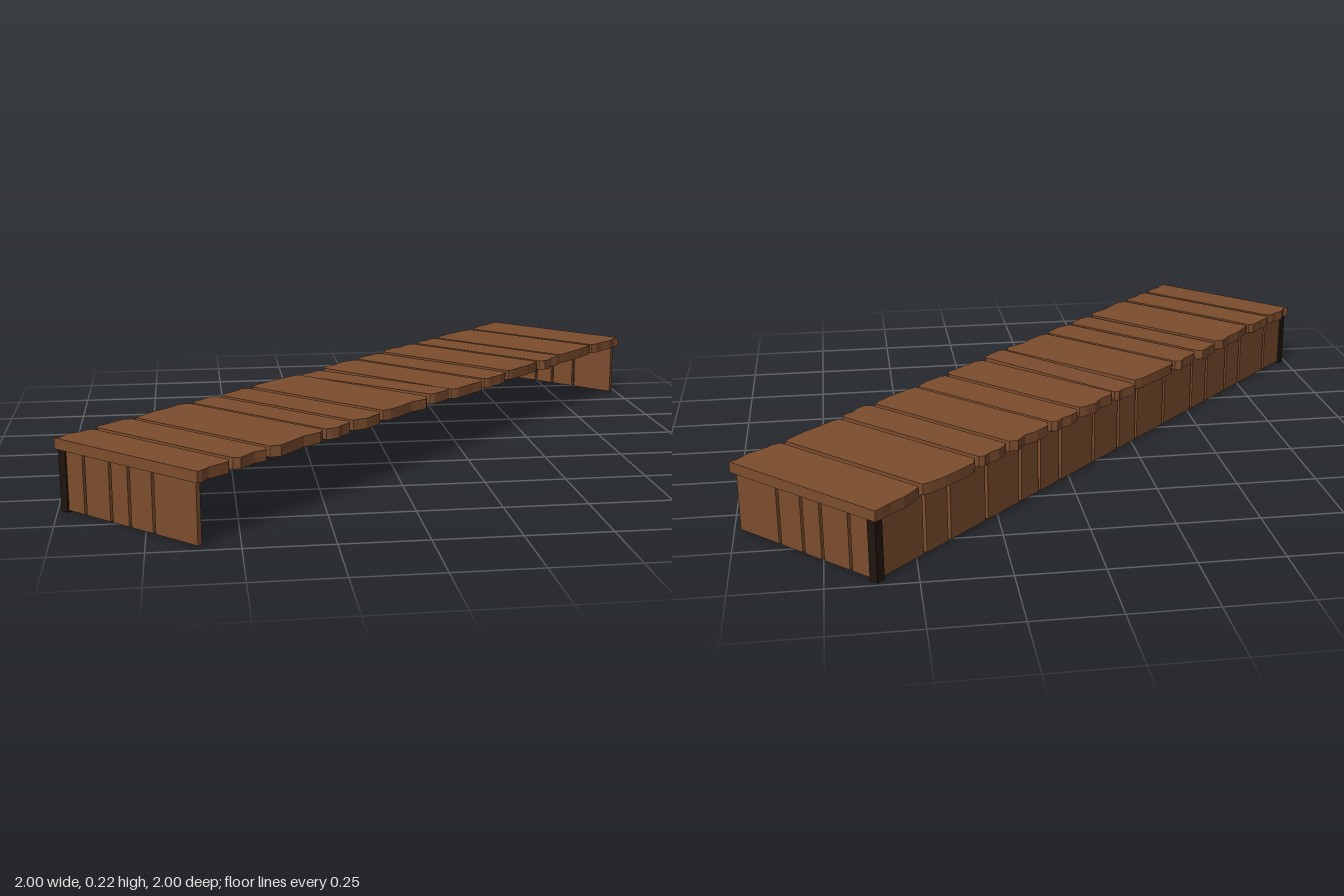
import * as THREE from 'three';

const wood = new THREE.MeshStandardMaterial({ color: 0x7c4d2e, flatShading: true });
const dark = new THREE.MeshStandardMaterial({ color: 0x20150f, flatShading: true });

// small seeded jitter in -1..1
let seed = 7;
const jitter = () => ((seed = (seed * 16807) % 2147483647) / 2147483647) * 2 - 1;

// Plank breaks along the length (x) of the top and back, and the depth (z) of the ends
const topBreaks = [-1.138, -0.998, -0.851, -0.609, -0.484, -0.34, -0.095, 0.023, 0.216, 0.363, 0.567, 0.707, 0.945, 1.138];
const backBreaks = [-1.125, -0.985, -0.80, -0.70, -0.565, -0.464, -0.283, -0.115, -0.01, 0.13, 0.307, 0.413, 0.507, 0.665, 0.83, 0.933, 1.125];
const endBreaks = [-0.262, -0.17, -0.065, 0.008, 0.10, 0.265];

function box(name, parent, mat, w, h, d, x, y, z) {
  const mesh = new THREE.Mesh(new THREE.BoxGeometry(w, h, d), mat);
  mesh.name = name;
  mesh.position.set(x, y, z);
  parent.add(mesh);
  return mesh;
}

// Top plank: straight long sides, worn wavy ends
function topPlank(x0, x1, first, last) {
  const w = x1 - x0, pts = [];
  for (const side of [-1, 1]) {
    const steps = [0, 0.12, 0.4, 0.65, 0.88, 1];
    for (const s of steps) {
      const t = side < 0 ? s : 1 - s;
      const outer = (first && t === 0) || (last && t === 1);
      const corner = s === 0 || s === 1;
      const z = outer ? 0.276 : corner ? 0.263 : 0.274 + 0.007 * jitter();
      pts.push(new THREE.Vector2(x0 + t * w, side * z));
    }
  }
  const geo = new THREE.ExtrudeGeometry(new THREE.Shape(pts), { depth: 0.032, bevelEnabled: false });
  geo.rotateX(Math.PI / 2);
  return new THREE.Mesh(geo, wood);
}

export function createModel() {
  const model = new THREE.Group();
  model.name = 'plankCounter';
  const body = new THREE.Group();
  body.name = 'counterBody';
  body.rotation.y = Math.PI / 4;
  model.add(body);

  // Tabletop
  const top = new THREE.Group();
  top.name = 'tabletop';
  body.add(top);
  const n = topBreaks.length - 1, gap = 0.008;
  for (let i = 0; i < n; i++) {
    const first = i === 0, last = i === n - 1;
    const plank = topPlank(topBreaks[i] + (first ? 0 : gap), topBreaks[i + 1] - (last ? 0 : gap), first, last);
    plank.name = 'topPlank';
    plank.position.y = 0.213 + (first || last ? 0 : 0.002 * jitter());
    if (i === 6) plank.rotation.x = -0.02; // one plank sits a little proud
    top.add(plank);
  }

  // Back wall of upright boards
  const back = new THREE.Group();
  back.name = 'backWall';
  body.add(back);
  for (let i = 0; i < backBreaks.length - 1; i++) {
    const a = backBreaks[i], b = backBreaks[i + 1];
    box('backBoard', back, wood, b - a - 0.012, 0.177, 0.015, (a + b) / 2, 0.0945, -0.254);
  }

  // End walls and the dark posts at the back corners
  for (const side of [-1, 1]) {
    const end = new THREE.Group();
    end.name = side < 0 ? 'rightEndWall' : 'leftEndWall';
    body.add(end);
    for (let i = 0; i < endBreaks.length - 1; i++) {
      const a = endBreaks[i], b = endBreaks[i + 1];
      box('endBoard', end, wood, 0.015, 0.177, b - a - 0.01, side * 1.12, 0.0945, (a + b) / 2);
    }
    box('cornerPost', body, dark, 0.028, 0.183, 0.028, side * 1.118, 0.0915, -0.254);
  }
  return model;
}
